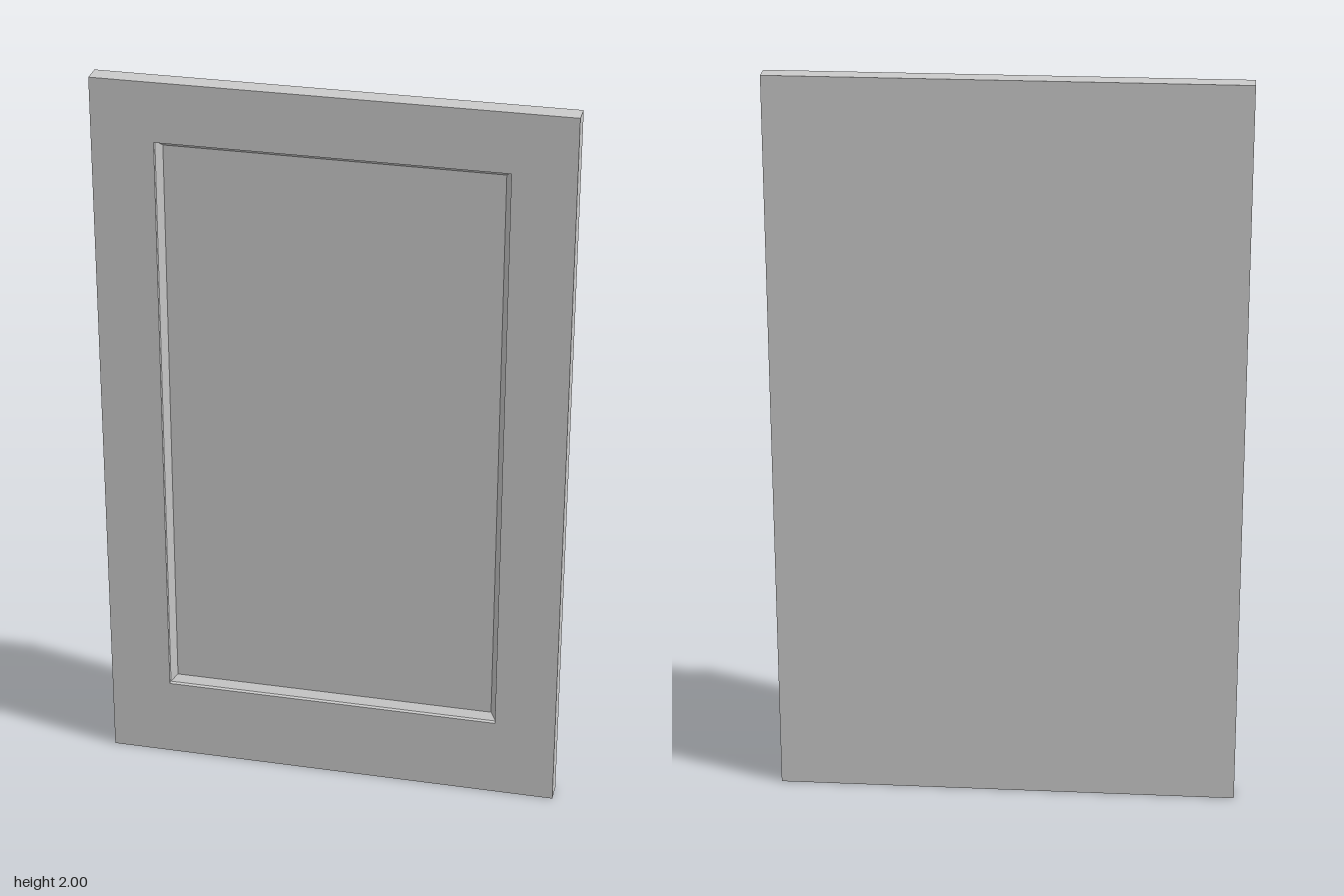
import * as THREE from 'three';

const grey = () => new THREE.MeshStandardMaterial({ color: 0xcccccc, flatShading: true });

// Rectangle loop, counter-clockwise from the front: half width, bottom, top, depth
const rect = (w, y0, y1, z) => [[-w, y0, z], [w, y0, z], [w, y1, z], [-w, y1, z]];

// Mitred bands joining each rectangle to the next
function bands(name, loops) {
  const pos = [];
  for (let k = 0; k + 1 < loops.length; k++) {
    const a = loops[k], b = loops[k + 1];
    for (let i = 0; i < 4; i++) {
      const j = (i + 1) % 4;
      pos.push(...a[i], ...a[j], ...b[j], ...a[i], ...b[j], ...b[i]);
    }
  }
  const geo = new THREE.BufferGeometry();
  geo.setAttribute('position', new THREE.Float32BufferAttribute(pos, 3));
  geo.computeVertexNormals();
  const mesh = new THREE.Mesh(geo, grey());
  mesh.name = name;
  return mesh;
}

// Flat sheet filling a rectangle
function sheet(name, w, y0, y1, z, facesBack) {
  const mesh = new THREE.Mesh(new THREE.PlaneGeometry(2 * w, y1 - y0), grey());
  mesh.position.set(0, (y0 + y1) / 2, z);
  if (facesBack) mesh.rotation.y = Math.PI;
  mesh.name = name;
  return mesh;
}

export function createModel() {
  const W = 0.622, H = 2, Z = 0.027;            // outer half width, height, half thickness
  const w = 0.457, y0 = 0.222, y1 = 1.838;      // opening in the frame
  const s = 0.016, step = 0.012, depth = 0.028; // moulding width, lip and recess depth

  const door = new THREE.Group();
  door.name = 'cabinetDoor';

  // Outer edges, front rails and stiles, and the square lip of the opening
  door.add(bands('frame', [
    rect(W, 0, H, -Z), rect(W, 0, H, Z), rect(w, y0, y1, Z), rect(w, y0, y1, Z - step),
  ]));
  // Sloped moulding running down to the panel
  door.add(bands('moulding', [
    rect(w, y0, y1, Z - step), rect(w - s, y0 + s, y1 - s, Z - depth),
  ]));
  door.add(sheet('recessedPanel', w - s, y0 + s, y1 - s, Z - depth, false));
  door.add(sheet('back', W, 0, H, -Z, true));
  return door;
}
